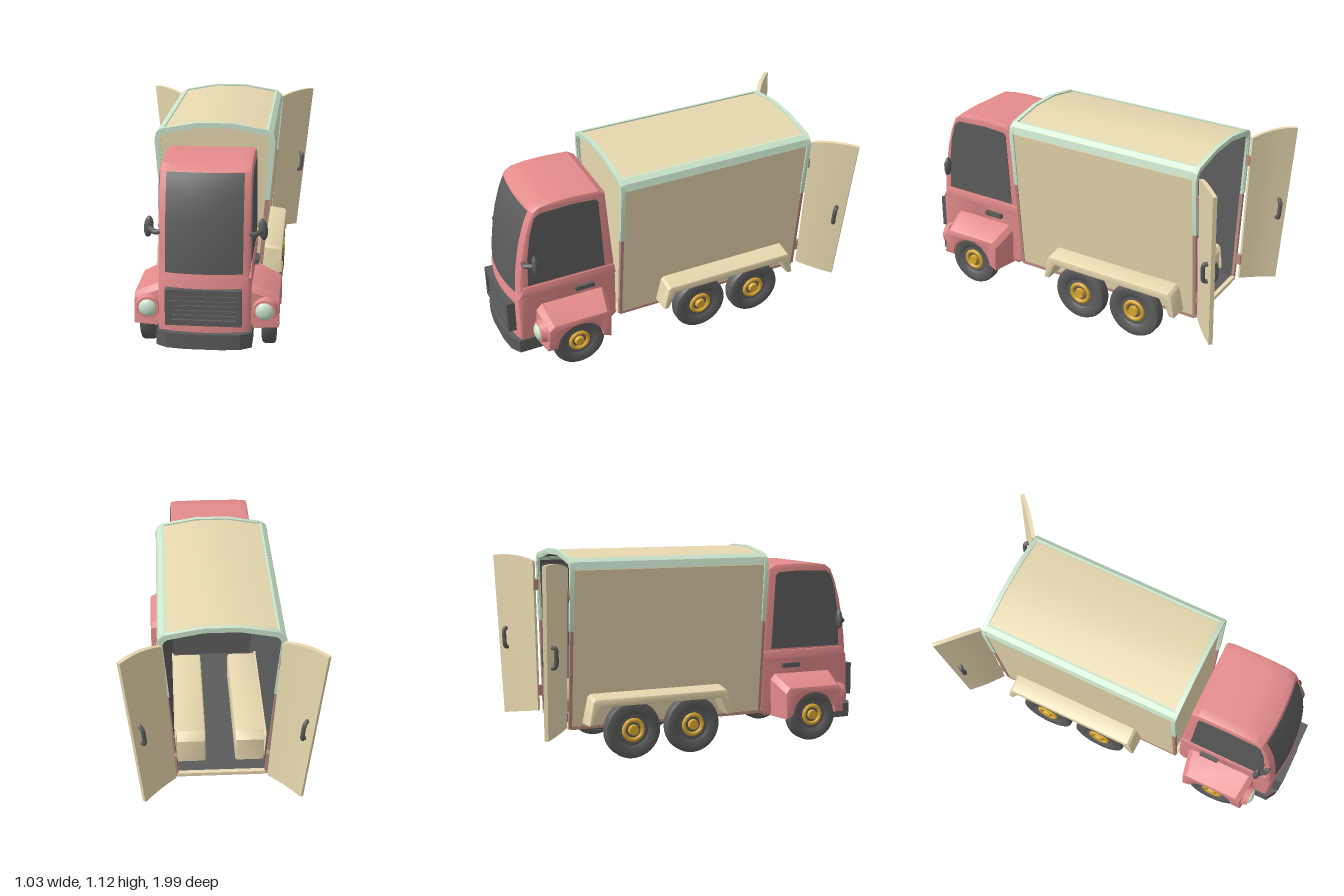
import * as THREE from 'three';
import { toCreasedNormals } from 'three/addons/utils/BufferGeometryUtils.js';

const paint = (name, color) => Object.assign(new THREE.MeshStandardMaterial({ color }), { name });

export function createModel() {
  const root = new THREE.Group();
  root.name = 'boxTruck';
  const red = paint('cabRed', 0xe48b8b);
  const beige = paint('bodyBeige', 0xe9dab0);
  const mint = paint('trimMint', 0xcfe9d0);
  const brown = paint('uprightBrown', 0xba8c80);
  const dark = paint('darkGrey', 0x5c5c5c);
  const gold = paint('hubGold', 0xdca932);

  // ---- helpers ----
  const add = (name, geo, mat, crease = 0.6) => {
    const mesh = new THREE.Mesh(toCreasedNormals(geo, crease), mat);
    mesh.name = name;
    root.add(mesh);
  };
  const mirrored = (geo) => {
    const g = geo.index ? geo.toNonIndexed() : geo.clone();
    const p = g.attributes.position, a = new THREE.Vector3(), b = new THREE.Vector3();
    g.scale(-1, 1, 1);
    for (let i = 0; i < p.count; i += 3) {
      a.fromBufferAttribute(p, i + 1);
      b.fromBufferAttribute(p, i + 2);
      p.setXYZ(i + 1, b.x, b.y, b.z);
      p.setXYZ(i + 2, a.x, a.y, a.z);
    }
    return g;
  };
  const addPair = (name, geo, mat, crease) => {
    const other = mirrored(geo);
    add(name + 'Left', geo, mat, crease);
    add(name + 'Right', other, mat, crease);
  };
  const box = (x0, x1, y0, y1, z0, z1) => new THREE.BoxGeometry(x1 - x0, y1 - y0, z1 - z0)
    .translate((x0 + x1) / 2, (y0 + y1) / 2, (z0 + z1) / 2);
  const shapeOf = (pts) => new THREE.Shape(pts.map(([x, y]) => new THREE.Vector2(x, y)));
  const along = (shape, z0, z1) =>
    new THREE.ExtrudeGeometry(shape, { depth: z1 - z0, bevelEnabled: false }).translate(0, 0, z0);
  // outline in (z, y), extruded from x0 to x1, with an optional chamfer
  const across = (shape, x0, x1, steps = 1, bevel = 0) => new THREE.ExtrudeGeometry(shape, {
    depth: x1 - x0 - 2 * bevel, steps, bevelEnabled: bevel > 0, bevelThickness: bevel,
    bevelSize: bevel, bevelOffset: -bevel, bevelSegments: 2,
  }).rotateY(-Math.PI / 2).translate(x1 - bevel, 0, 0);
  const warp = (geo, rule) => {
    const p = geo.attributes.position, v = new THREE.Vector3();
    for (let i = 0; i < p.count; i++) {
      rule(v.fromBufferAttribute(p, i));
      p.setXYZ(i, v.x, v.y, v.z);
    }
    return geo;
  };
  const tube = (pts, r) => new THREE.TubeGeometry(new THREE.CatmullRomCurve3(
    pts.map((p) => (p.isVector3 ? p : new THREE.Vector3(...p))), false, 'catmullrom', 0.2), 20, r, 8);
  const mirrorPts = (half) => [...half, ...half.map(([x, y]) => [-x, y]).reverse()];

  // ---- cargo box: leaning sides and an arched roof ----
  const sideX = (y) => 0.245 + 0.085 * (y - 0.165);
  const half = (o, y0) => [[sideX(y0) - o, y0], [sideX(1.02) - o, 1.02], [0.308 - o, 1.055 - o * 0.6],
    [0.283 - o * 0.6, 1.075 - o], [0.09, 1.11 - o]];
  const section = (o) => mirrorPts(half(o, 0.17 + o));
  const ring = (o1, o2) => {
    const s = shapeOf(section(o1));
    s.holes.push(shapeOf(section(o2)));
    return s;
  };
  add('cargoShell', along(ring(0, 0.008), -0.78, 0.345), beige, 0.3);
  add('cargoLining', along(ring(0.008, 0.014), -0.78, 0.32), dark, 0.3);
  add('cargoFrontWall', along(shapeOf(section(0.006)), 0.326, 0.342), beige);
  add('cargoFrontLining', along(shapeOf(section(0.01)), 0.318, 0.326), dark);
  addPair('roofRail', along(shapeOf([[sideX(1.02) - 0.006, 1.025], [sideX(1.02) + 0.005, 1.025],
    [0.314, 1.064], [0.288, 1.084], [0.275, 1.084], [0.275, 1.06]]), -0.78, 0.35), mint);

  // end frames: mint arch, brown lower uprights, beige sill
  const arch = (o1, o2) => shapeOf([...mirrorPts(half(o1, 0.7)), ...mirrorPts(half(o2, 0.7)).reverse()]);
  const upright = shapeOf([[sideX(0.17) - 0.016, 0.17], [sideX(0.17) + 0.004, 0.17],
    [sideX(0.7) + 0.007, 0.7], [sideX(0.7) - 0.018, 0.7]]);
  for (const [name, z0, z1] of [['front', 0.335, 0.36], ['rear', -0.795, -0.77]]) {
    add(name + 'TrimArch', along(arch(-0.008, 0.013), z0, z1), mint);
    add(name + 'TrimInnerStep', along(arch(0.01, 0.022), z0 + 0.004, z1 - 0.008), mint);
    addPair(name + 'Upright', along(upright, z0 + 0.004, z1 - 0.004), brown);
    add(name + 'Sill', box(-0.24, 0.24, 0.168, 0.188, z0, z1), beige);
  }
  addPair('lowerRail', box(0.235, 0.25, 0.165, 0.182, -0.78, 0.35), brown);

  // ---- open rear doors ----
  const mix = THREE.MathUtils.lerp;
  const doorPoint = (u, v, w) => {
    const bulge = 0.006 * Math.sin(Math.PI * u) + w * 0.022;
    const y = mix(0.182 - 0.027 * u, 1.035 + 0.09 * u - 0.062 * u * u, v);
    return new THREE.Vector3(mix(mix(0.25, 0.305, v), mix(0.415, 0.507, v), u) + 0.66 * bulge, y,
      mix(-0.812, mix(-0.965, -0.988, v), u) + 0.75 * bulge);
  };
  addPair('rearDoor', warp(new THREE.BoxGeometry(1, 1, 1, 10, 4, 1),
    (p) => p.copy(doorPoint(p.x + 0.5, p.y + 0.5, p.z))), beige);
  for (const [name, w] of [['outer', 1], ['inner', -1]]) {
    const path = [[0.415, 0.3], [0.42, 1.3], [0.44, 1.6], [0.51, 1.6], [0.53, 1.3], [0.535, 0.3]];
    addPair(name + 'DoorHandle', tube(path.map(([v, d]) => doorPoint(0.8, v, d * w)), 0.012), dark, 1);
  }
  for (const y of [0.3, 0.9]) {
    addPair('doorHinge', box(sideX(y) - 0.02, sideX(y) + 0.002, y - 0.03, y + 0.03, -0.82, -0.79), brown);
  }

  // ---- rear mudguards and inner wheel boxes ----
  const guard = shapeOf([[0.125, 0.2], [0.1, 0.345], [0.085, 0.36], [-0.675, 0.36], [-0.69, 0.345],
    [-0.715, 0.2], [-0.685, 0.2], [-0.64, 0.295], [0.05, 0.295], [0.095, 0.2]]);
  addPair('rearMudguard', warp(across(guard, 0.235, 0.362, 1, 0.008), (p) => {
    if (p.y > 0.31) p.y -= 0.16 * (p.x - 0.235);
  }), beige);
  addPair('innerWheelBox', across(shapeOf([[0.1, 0.18], [0.1, 0.32], [0.06, 0.36], [-0.65, 0.36],
    [-0.69, 0.32], [-0.69, 0.18]]), 0.08, 0.245, 1, 0.012), beige);

  // ---- cab: side profile with a bowed front and a wheel arch below ----
  const bow = (p) => {
    p.z -= 0.032 * (p.x / 0.23) ** 2 * THREE.MathUtils.clamp((p.z - 0.75) / 0.15, 0, 1);
  };
  const screen = [[0.957, 0.47], [0.95, 0.57], [0.935, 0.68], [0.912, 0.80], [0.875, 0.91], [0.838, 0.978]];
  const cabProfile = shapeOf([[0.97, 0.15], [0.968, 0.44], ...screen, [0.79, 1.005], [0.7, 1.017],
    [0.6, 1.02], [0.45, 1.013], [0.412, 0.99], [0.395, 0.78], [0.365, 0.45], [0.365, 0.17], [0.4, 0.14], [0.49, 0.15]]);
  cabProfile.absarc(0.64, 0.15, 0.135, Math.PI - 0.07, 0.07, true);
  add('cab', warp(across(cabProfile, -0.232, 0.232, 10, 0.014), bow), red, 0.45);
  const screenCurve = new THREE.SplineCurve(screen.map(([z, y]) => new THREE.Vector2(z, y)));
  add('windscreen', warp(new THREE.PlaneGeometry(0.39, 1, 10, 10), (p) => {
    const c = screenCurve.getPoint(0.03 + 0.94 * (p.y + 0.5));
    p.set(p.x, c.y, c.x);
    bow(p);
    p.z += 0.006;
    p.y += 0.003;
  }), dark, 1);
  addPair('sideWindow', across(shapeOf([[0.875, 0.53], [0.868, 0.7], [0.845, 0.85], [0.815, 0.945],
    [0.785, 0.968], [0.6, 0.976], [0.47, 0.968], [0.455, 0.95], [0.43, 0.53]]), 0.229, 0.236), dark);
  addPair('waistLedge', across(shapeOf([[0.365, 0.46], [0.93, 0.46], [0.9, 0.52], [0.375, 0.52]]), 0.225, 0.238, 1, 0.005), red);
  addPair('cabDoorHandle', box(0.23, 0.254, 0.418, 0.443, 0.5, 0.61), dark);

  // ---- mirrors ----
  addPair('mirrorArm', tube([[0.22, 0.68, 0.89], [0.25, 0.675, 0.89], [0.285, 0.685, 0.85]], 0.014), dark, 1);
  addPair('mirror', new THREE.SphereGeometry(1, 20, 12).scale(0.024, 0.056, 0.018)
    .rotateZ(0.12).translate(0.288, 0.69, 0.845), dark, 1);

  // ---- grille and bumper ----
  const grille = shapeOf([[-0.192, 0.22], [0.192, 0.22], [0.192, 0.408], [-0.192, 0.408]]);
  grille.holes.push(shapeOf([[-0.165, 0.248], [0.165, 0.248], [0.165, 0.378], [-0.165, 0.378]]));
  add('grilleFrame', along(grille, 0.93, 0.992), dark);
  add('grilleBack', box(-0.17, 0.17, 0.24, 0.39, 0.93, 0.974), dark);
  for (let i = 0; i < 5; i++) {
    const y = 0.265 + i * 0.025;
    add('grilleSlat', box(-0.166, 0.166, y - 0.007, y + 0.007, 0.96, 0.984), dark);
  }
  const bumper = shapeOf([...mirrorPts([[0.242, -0.78], [0.242, -0.95], [0.185, -0.985], [0.09, -0.998]]),
    ...mirrorPts([[0.205, -0.78], [0.205, -0.92], [0.16, -0.945], [0.08, -0.955]]).reverse()]);
  add('bumper', along(bumper, 0.095, 0.175).rotateX(-Math.PI / 2), dark, 0.4);

  // ---- front mudguards, narrowing and sloping outwards ----
  const wing = shapeOf([[0.43, 0.14], [0.425, 0.36], [0.45, 0.39], [0.81, 0.39], [0.84, 0.36], [0.855, 0.16], [0.79, 0.16]]);
  wing.absarc(0.64, 0.15, 0.135, 0.07, Math.PI - 0.07, false);
  addPair('frontMudguard', warp(across(wing, 0.215, 0.375, 1, 0.006), (p) => {
    const t = (p.x - 0.215) / 0.16;
    if (p.y > 0.3) p.y -= 0.072 * t;
    if (p.z < 0.46) p.z += 0.03 * t;
    if (p.z > 0.8) p.z -= 0.022 * t;
  }), red, 0.4);

  // ---- headlights ----
  addPair('headlightRing', new THREE.CylinderGeometry(0.058, 0.068, 0.035, 28).rotateX(Math.PI / 2)
    .translate(0.3, 0.255, 0.843), red);
  addPair('headlightLens', new THREE.SphereGeometry(0.047, 24, 12).scale(1, 1, 0.5)
    .translate(0.3, 0.255, 0.858), mint, 1);

  // ---- wheels and axles ----
  const tyre = [[0.085, -0.024], [0.1, -0.034], [0.14, -0.037], [0.152, -0.032], [0.157, -0.02], [0.157, 0.02],
    [0.152, 0.032], [0.14, 0.037], [0.1, 0.034], [0.085, 0.024]].map(([r, x]) => new THREE.Vector2(r, x));
  for (const [name, z, r] of [['front', 0.64, 0.15], ['middle', -0.11, 0.157], ['rear', -0.46, 0.157]]) {
    const k = r / 0.157;
    const place = (g, x = 0.319) => g.rotateZ(-Math.PI / 2).scale(1, k, k).translate(x, r, z);
    addPair(name + 'Tyre', place(new THREE.LatheGeometry(tyre, 36)), dark);
    addPair(name + 'WheelDisc', place(new THREE.CylinderGeometry(0.09, 0.09, 0.044, 32)), dark);
    addPair(name + 'HubRing', place(new THREE.TorusGeometry(0.054, 0.012, 8, 28).rotateX(Math.PI / 2), 0.343), gold, 1);
    addPair(name + 'HubCap', place(new THREE.CylinderGeometry(0.027, 0.032, 0.03, 16), 0.346), gold);
    add(name + 'Axle', place(new THREE.CylinderGeometry(0.027, 0.027, 0.6, 16), 0), dark);
  }
  return root;
}
